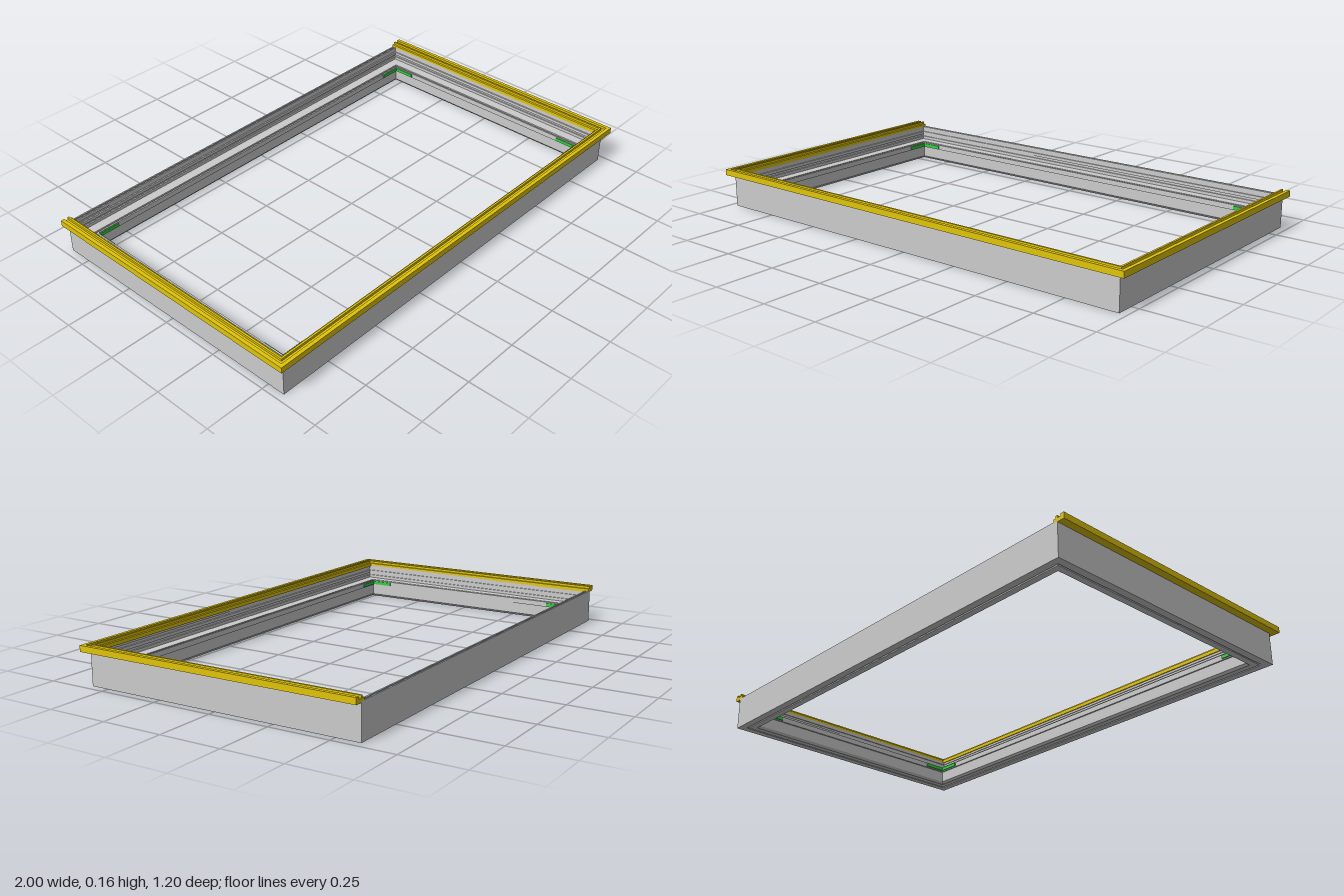
import * as THREE from 'three';

// Sweep a counter-clockwise profile of [inset, height] through mitred stations
function sweep(profile, stations, closed) {
  const pos = [];
  const point = ([d, y], station) => {
    const [x, z] = station(d);
    return [x, y, z];
  };
  const n = profile.length;
  const spans = closed ? stations.length : stations.length - 1;
  for (let s = 0; s < spans; s++) {
    const from = stations[s], to = stations[(s + 1) % stations.length];
    for (let i = 0; i < n; i++) {
      const p = profile[i], q = profile[(i + 1) % n];
      const a = point(p, from), b = point(q, from), c = point(q, to), e = point(p, to);
      pos.push(...a, ...b, ...c, ...a, ...c, ...e);
    }
  }
  if (!closed) {
    const outline = profile.map(([d, y]) => new THREE.Vector2(d, y));
    for (const [a, b, c] of THREE.ShapeUtils.triangulateShape(outline, [])) {
      const first = stations[0], last = stations[stations.length - 1];
      for (const i of [a, c, b]) pos.push(...point(profile[i], first));
      for (const i of [a, b, c]) pos.push(...point(profile[i], last));
    }
  }
  const geo = new THREE.BufferGeometry();
  geo.setAttribute('position', new THREE.Float32BufferAttribute(pos, 3));
  geo.computeVertexNormals();
  return geo;
}

export function createModel() {
  const model = new THREE.Group();
  const grey = new THREE.MeshStandardMaterial({ color: 0xcccccc, flatShading: true });
  const gold = new THREE.MeshStandardMaterial({ color: 0xe0c408, flatShading: true });
  const green = new THREE.MeshStandardMaterial({ color: 0x30d040, flatShading: true });
  const add = (name, geo, mat, parent = model) => {
    const mesh = new THREE.Mesh(geo, mat);
    mesh.name = name;
    parent.add(mesh);
    return mesh;
  };

  const X = 0.97, FRONT = 0.575, BACK = -0.6;

  // Main frame: grooved outer wall, mid-height ledge and inner lip
  const frameProfile = [
    [0, 0], [0.03, 0], [0.03, 0.006], [0.036, 0.006], [0.036, 0],
    [0.062, 0], [0.07, 0.01], [0.07, 0.058], [0.077, 0.058], [0.077, 0.08],
    [0.07, 0.08], [0.07, 0.073], [0.062, 0.073], [0.062, 0.08],
    [0.02, 0.08], [0.02, 0.093], [0.014, 0.093], [0.014, 0.103],
    [0.02, 0.103], [0.02, 0.116], [0.014, 0.116], [0.014, 0.126],
    [0.018, 0.126], [0.018, 0.14], [0.012, 0.14], [0.012, 0.134],
    [0.006, 0.134], [0.006, 0.14], [0, 0.14],
  ];
  add('frame', sweep(frameProfile, [
    d => [-X + d, FRONT - d], d => [X - d, FRONT - d],
    d => [X - d, BACK + d], d => [-X + d, BACK + d],
  ], true), grey);

  // Gold trim on the front and both sides, open at the back
  const trimProfile = [
    [0, 0.135], [0.048, 0.135], [0.048, 0.15], [0.038, 0.15], [0.038, 0.16],
    [0.03, 0.16], [0.03, 0.15], [0.015, 0.15], [0.015, 0.16], [0, 0.16],
  ];
  add('trim', sweep(trimProfile, [
    d => [-1 + d, BACK], d => [-1 + d, 0.6 - d],
    d => [1 - d, 0.6 - d], d => [1 - d, BACK],
  ], false), gold);

  // Green corner brackets: two thin legs against the inner lip
  const LEG = 0.1, T = 0.008, INSET = 0.074;
  for (const sx of [-1, 1]) {
    for (const [sz, edge] of [[1, FRONT], [-1, BACK]]) {
      const bracket = new THREE.Group();
      bracket.name = 'cornerBracket';
      const x = sx * (X - INSET), z = edge - sz * INSET;
      add('sideLeg', new THREE.BoxGeometry(T, 0.014, LEG), green, bracket)
        .position.set(x - sx * T / 2, 0.069, z - sz * LEG / 2);
      add('crossLeg', new THREE.BoxGeometry(LEG, 0.014, T), green, bracket)
        .position.set(x - sx * LEG / 2, 0.069, z - sz * T / 2);
      model.add(bracket);
    }
  }
  return model;
}
